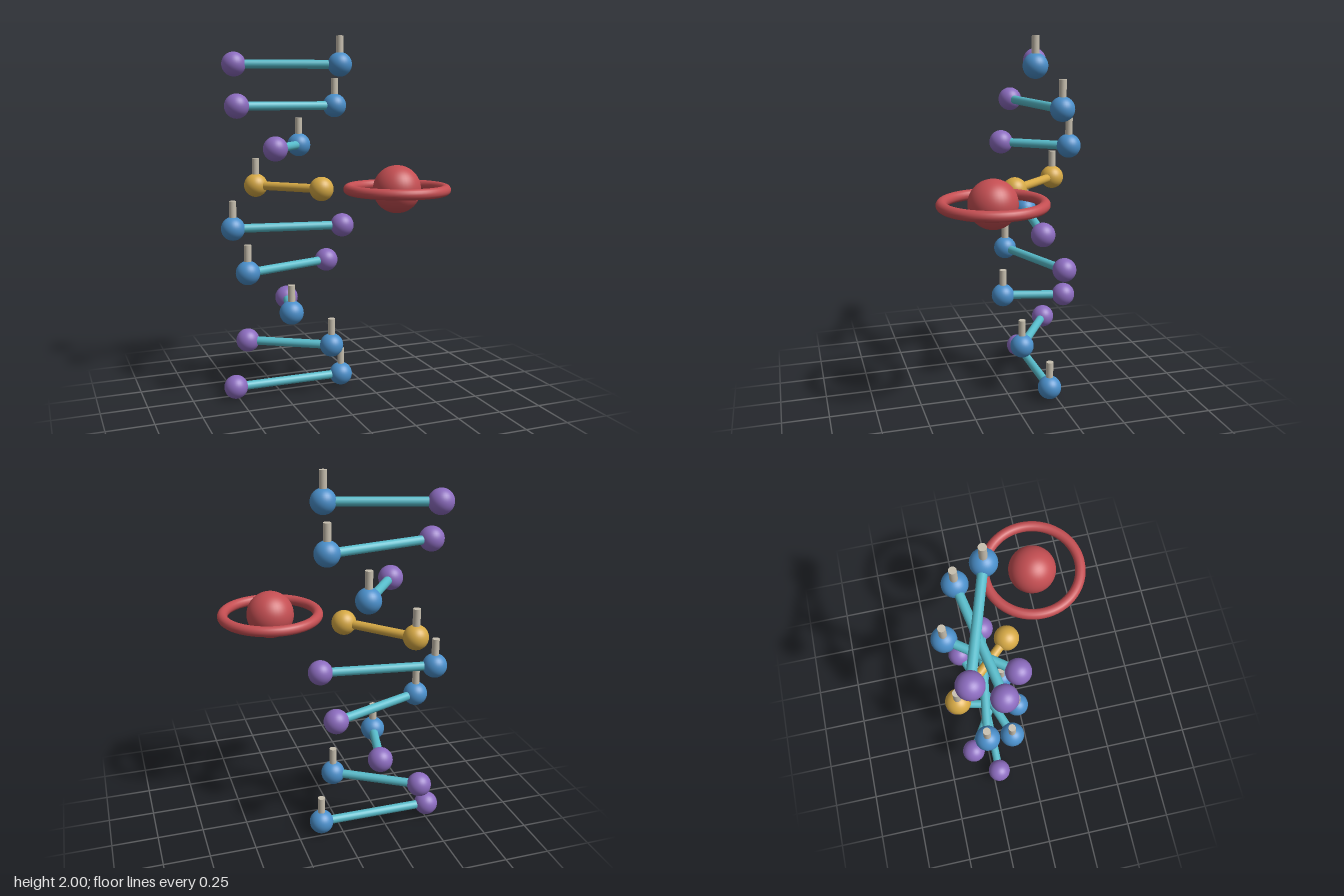
import * as THREE from 'three';

const mat = (name, color) => {
  const m = new THREE.MeshStandardMaterial({ color });
  m.name = name;
  return m;
};

export function createModel() {
  const blue = mat('blue', 0x4a8fca);
  const purple = mat('purple', 0x8c6cbf);
  const teal = mat('teal', 0x57bbca);
  const gold = mat('gold', 0xd6a945);
  const red = mat('red', 0xc44e52);
  const stone = mat('stone', 0xc6beae);

  const model = new THREE.Group();
  model.name = 'helixWithRingedSphere';

  const add = (parent, name, geometry, material, x, y, z) => {
    const mesh = new THREE.Mesh(geometry, material);
    mesh.name = name;
    mesh.position.set(x, y, z);
    parent.add(mesh);
    return mesh;
  };

  // Helix of rungs, flattened front to back
  const count = 9, twist = 0.85, baseY = 0.067, rise = 0.2225;
  const rx = 0.315, rz = 0.173, ballR = 0.066, postH = 0.153;
  const ball = new THREE.SphereGeometry(ballR, 32, 20);
  const post = new THREE.CylinderGeometry(0.02, 0.02, postH, 20);
  const up = new THREE.Vector3(0, 1, 0);

  for (let i = 0; i < count; i++) {
    const rung = new THREE.Group();
    rung.name = `rung${i + 1}`;
    rung.position.set(-0.2, baseY + i * rise, -0.211);
    model.add(rung);

    const highlighted = i === 5;
    const end = new THREE.Vector3(Math.cos(i * twist) * rx, 0, Math.sin(i * twist) * rz);

    add(rung, 'postBall', ball, highlighted ? gold : blue, end.x, 0, end.z);
    add(rung, 'plainBall', ball, highlighted ? gold : purple, -end.x, 0, -end.z);
    add(rung, 'post', post, stone, end.x, postH / 2, end.z);

    // Rod joining the two balls
    const rodGeometry = new THREE.CylinderGeometry(0.024, 0.024, end.length() * 2, 20);
    const rod = add(rung, 'rod', rodGeometry, highlighted ? gold : teal, 0, 0, 0);
    rod.quaternion.setFromUnitVectors(up, end.clone().normalize());
  }

  // Ringed sphere beside the highlighted rung
  const planet = new THREE.Group();
  planet.name = 'ringedSphere';
  planet.position.set(0.289, 1.187, 0.159);
  model.add(planet);
  add(planet, 'core', new THREE.SphereGeometry(0.128, 40, 28), red, 0, 0, 0);
  const ring = add(planet, 'ring', new THREE.TorusGeometry(0.258, 0.028, 18, 64), red, 0, 0, 0);
  ring.rotation.x = Math.PI / 2;

  return model;
}
